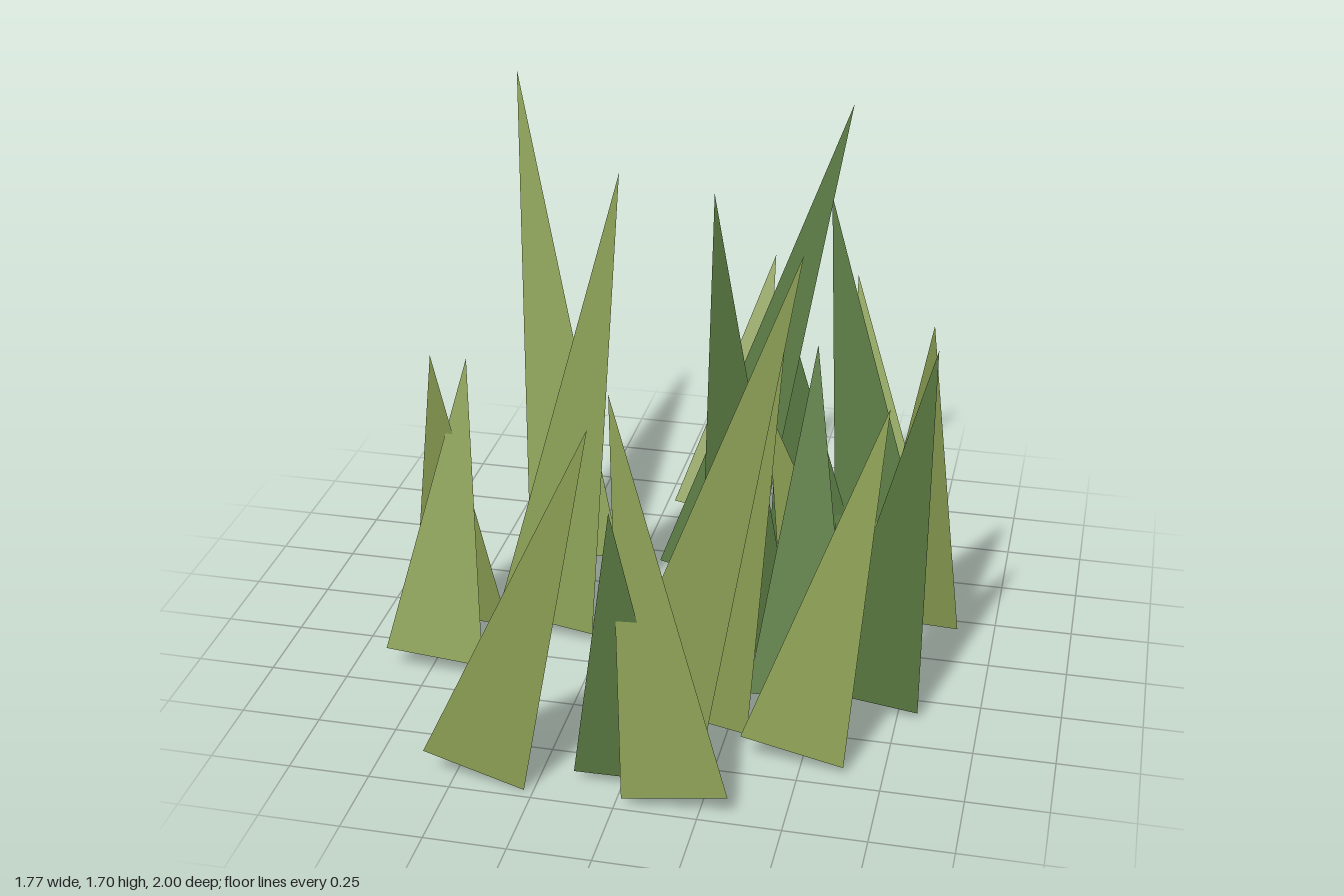
import * as THREE from 'three';

const BASE_RADIUS = 0.185;
const BASE_Y = 0.055;

// Each blade: base centre x, z, then tip x, y, z
const oliveBlades = [
  [-0.03, -0.775, 0.11, 0.95, -1.0],
  [-0.45, -0.375, -0.69, 1.70, -0.585],
  [0.723, -0.247, 0.775, 1.20, 0.05],
  [0.63, -0.51, 0.44, 1.02, -0.715],
  [-0.73, 0.047, -0.73, 1.07, 0.305],
  [-0.725, 0.342, -0.65, 1.02, 0.20],
  [-0.44, 0.047, -0.205, 1.59, 0.0],
  [0.52, 0.08, 0.30, 0.95, 0.205],
  [0.04, 0.505, 0.46, 1.62, 0.60],
  [0.16, 0.48, 0.41, 1.32, 0.59],
  [0.475, 0.602, 0.71, 1.16, 0.555],
  [-0.43, 0.877, -0.06, 1.22, 0.975],
  [0.18, 0.895, -0.015, 1.30, 0.915],
];
const greenBlades = [
  [0.01, -0.355, 0.44, 1.70, -0.47],
  [0.35, -0.57, 0.24, 1.0, -0.44],
  [0.59, -0.54, 0.36, 1.34, -0.60],
  [0.235, 0.045, 0.17, 1.70, 0.395],
  [0.655, 0.265, 0.825, 1.29, 0.42],
  [0.45, 0.332, 0.44, 1.15, 0.15],
  [0.015, 0.80, 0.0, 0.98, 0.995],
];

// Three-sided spike, tilted as a whole from its base centre to its tip
function makeBlade([x, z, tipX, tipY, tipZ], material) {
  const base = new THREE.Vector3(x, BASE_Y, z);
  const lean = new THREE.Vector3(tipX, tipY, tipZ).sub(base);
  const height = lean.length();
  const geometry = new THREE.ConeGeometry(BASE_RADIUS, height, 3);
  geometry.rotateY(Math.PI);
  geometry.translate(0, height / 2, 0);
  const blade = new THREE.Mesh(geometry, material);
  blade.position.copy(base);
  blade.quaternion.setFromUnitVectors(new THREE.Vector3(0, 1, 0), lean.normalize());
  return blade;
}

export function createModel() {
  const group = new THREE.Group();
  group.name = 'grassClump';
  const sets = [
    ['oliveBlade', 0x8ca055, oliveBlades],
    ['greenBlade', 0x5a7a42, greenBlades],
  ];
  for (const [name, color, blades] of sets) {
    const material = new THREE.MeshStandardMaterial({ color, flatShading: true });
    blades.forEach((data, i) => {
      const blade = makeBlade(data, material);
      blade.name = name + (i + 1);
      group.add(blade);
    });
  }
  return group;
}
